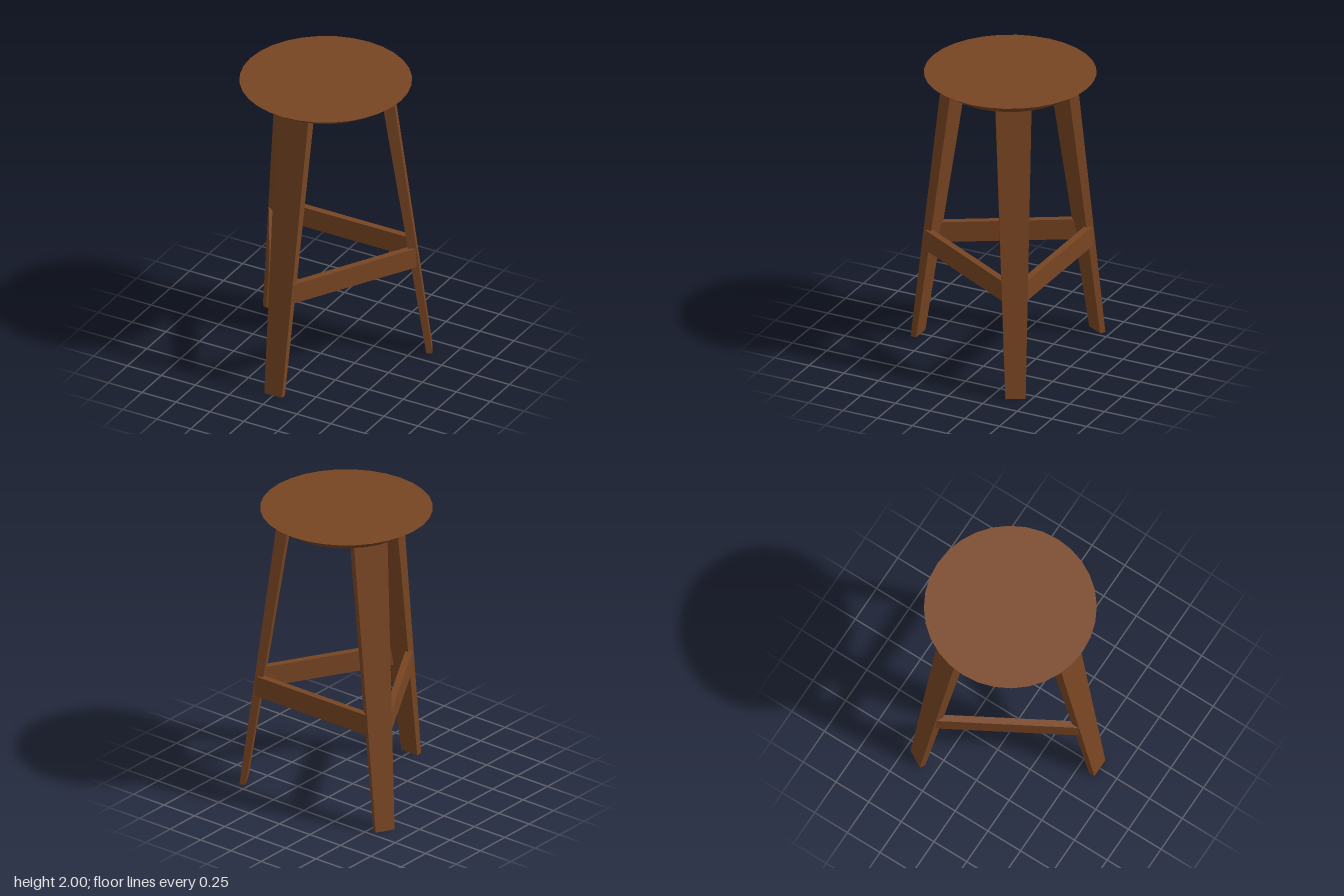
import * as THREE from 'three';

const wood = new THREE.MeshStandardMaterial({ color: 0x784522 });
wood.name = 'brown wood';

function addMesh(parent, name, geometry) {
  const mesh = new THREE.Mesh(geometry, wood);
  mesh.name = name;
  parent.add(mesh);
  return mesh;
}

// Splayed leg pointing along +z, wider and thicker towards the seat
function legGeometry() {
  const height = 1.94;
  const geo = new THREE.BoxGeometry(1, 1, 1);
  const p = geo.attributes.position;
  for (let i = 0; i < p.count; i++) {
    const y = p.getY(i) > 0 ? height : 0;
    const halfWidth = 0.065 + 0.026 * y;
    const z = p.getZ(i) > 0 ? 0.685 - 0.131 * y : 0.645 - 0.15 * y;
    p.setXYZ(i, Math.sign(p.getX(i)) * halfWidth, y, z);
  }
  geo.computeVertexNormals();
  return geo;
}

export function createModel() {
  const model = new THREE.Group();
  model.name = 'stool';

  // Everything turns around the seat axis, which lies slightly behind centre
  const stool = new THREE.Group();
  stool.name = 'stoolBody';
  stool.position.z = -0.065;
  model.add(stool);

  // Seat: rounded underside with a flat, sharp-edged top
  const seat = new THREE.Group();
  seat.name = 'seat';
  stool.add(seat);
  const profile = [[0, 1.875], [0.2, 1.875], [0.325, 1.876], [0.43, 1.917], [0.5, 1.962], [0.555, 2]]
    .map(([r, y]) => new THREE.Vector2(r, y));
  addMesh(seat, 'seatUnderside', new THREE.LatheGeometry(profile, 32));
  const top = addMesh(seat, 'seatTop', new THREE.CircleGeometry(0.555, 32).rotateX(-Math.PI / 2));
  top.position.y = 2;

  // Three legs, with a footrest rail between each pair
  const legGeo = legGeometry();
  const railGeo = new THREE.BoxGeometry(0.924, 0.14, 0.045).translate(0, 0.72, 0.3395);
  for (let i = 0; i < 3; i++) {
    const angle = (i * 2 * Math.PI) / 3;
    addMesh(stool, 'leg' + (i + 1), legGeo).rotation.y = angle;
    addMesh(stool, 'footrestRail' + (i + 1), railGeo).rotation.y = angle + Math.PI / 3;
  }
  return model;
}
